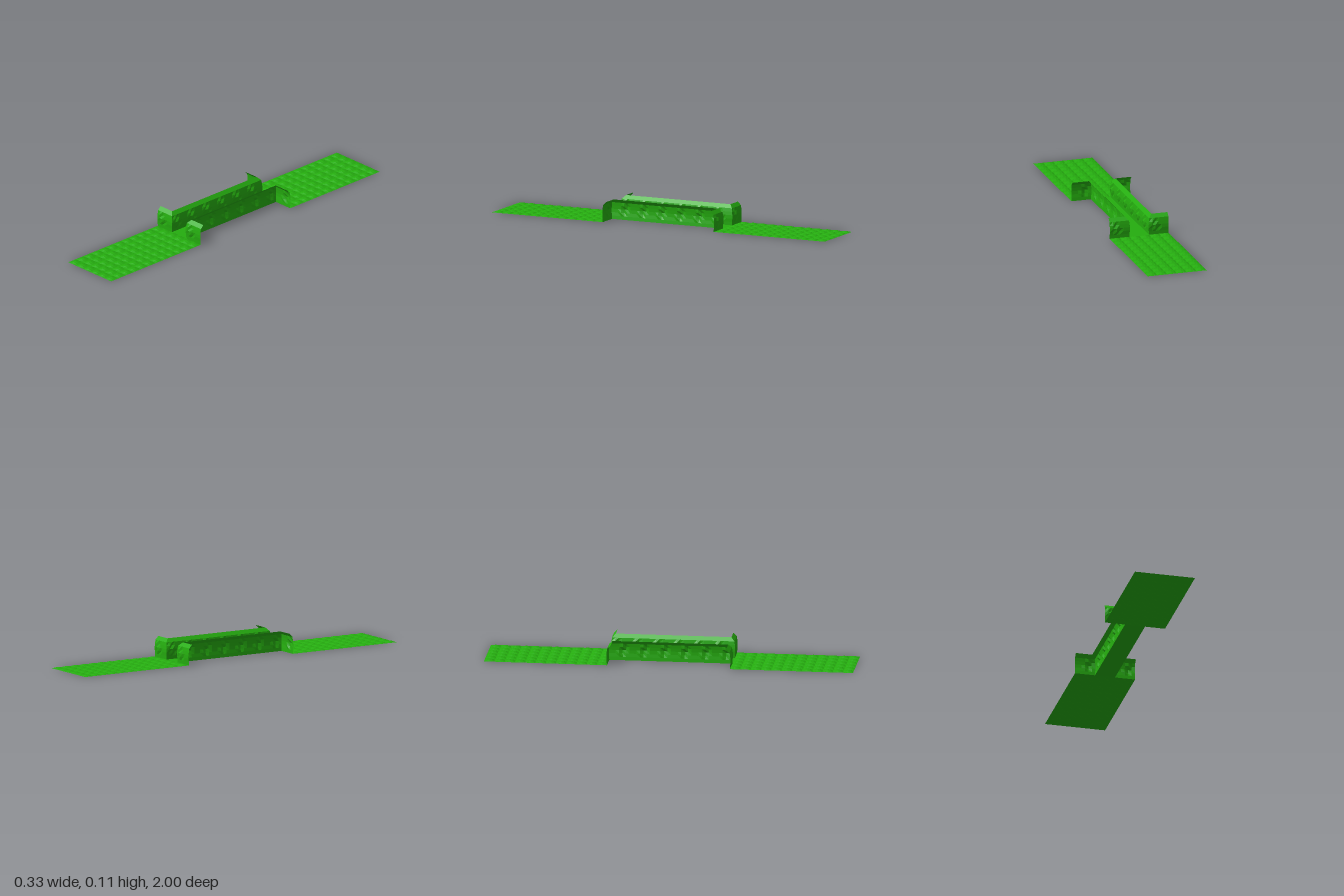
import * as THREE from 'three';

const TILE = 1 / 9;         // terrain tile size
const HALF = TILE / 2;      // half width of the passage
const grass = new THREE.MeshStandardMaterial({ color: 0x25ad0f, flatShading: true, side: THREE.DoubleSide });
grass.name = 'grass green';

// Cliff setback at each of the seven heights: slight belly, then a rim that leans back
const SETBACK = [0, -0.001, -0.003, -0.003, -0.001, 0.002, 0.02];
// Chipped rock ledge repeated on each tile, as [column, row, outward push]
const CHIPS = [[1, 3, 0.004], [1, 4, 0.006], [2, 2, 0.005], [2, 3, 0.006], [3, 2, -0.004], [2, 4, -0.003]];

function addMesh(parent, geometry, name) {
  const mesh = new THREE.Mesh(geometry, grass);
  mesh.name = name;
  parent.add(mesh);
  return mesh;
}

// Flat ground covered with regular low mounds
function moundedGround(width, depth) {
  const geo = new THREE.PlaneGeometry(width, depth, 24, 48).rotateX(-Math.PI / 2);
  const p = geo.attributes.position;
  for (let i = 0; i < p.count; i++) {
    const u = (p.getX(i) + width / 2) / HALF;
    const v = (p.getZ(i) + depth / 2) / HALF;
    p.setY(i, 0.008 * Math.abs(Math.sin(Math.PI * u) * Math.sin(Math.PI * v)));
  }
  geo.computeVertexNormals();
  return geo;
}

// Cliff facing +z; corner ends are mitred to follow the leaning rim
function cliff(tiles, cornerLeft, cornerRight) {
  const columns = tiles * 6, length = tiles * TILE;
  const geo = new THREE.PlaneGeometry(1, 1, columns, 6);
  const p = geo.attributes.position;
  for (let i = 0; i < p.count; i++) {
    const column = i % (columns + 1);
    const row = 6 - Math.floor(i / (columns + 1));
    const d = SETBACK[row];
    const start = -length / 2 + (cornerLeft ? d : 0);
    const end = length / 2 - (cornerRight ? d : 0);
    const chip = CHIPS.find(([c, r]) => c === column % 6 && r === row);
    p.setXYZ(i, start + (end - start) * column / columns, TILE * row / 6, (chip ? chip[2] : 0) - d);
  }
  geo.computeVertexNormals();
  return geo;
}

export function createModel() {
  const model = new THREE.Group();
  model.name = 'canyonPassage';

  // Narrow floor joining the two fields
  addMesh(model, new THREE.PlaneGeometry(TILE, 6 * TILE).rotateX(-Math.PI / 2), 'passageFloor');

  // Each half has a field, two end cliffs and one long cliff
  for (const [name, turn] of [['frontHalf', 0], ['backHalf', Math.PI]]) {
    const half = new THREE.Group();
    half.name = name;
    half.rotation.y = turn;
    addMesh(half, moundedGround(3 * TILE, 6 * TILE), 'field').position.z = 6 * TILE;
    addMesh(half, cliff(1, true, false), 'leftEndCliff').position.set(TILE, 0, 3 * TILE);
    addMesh(half, cliff(1, false, true), 'rightEndCliff').position.set(-TILE, 0, 3 * TILE);
    const side = addMesh(half, cliff(6, true, true), 'passageCliff');
    side.position.x = HALF;
    side.rotation.y = -Math.PI / 2;
    model.add(half);
  }
  return model;
}
